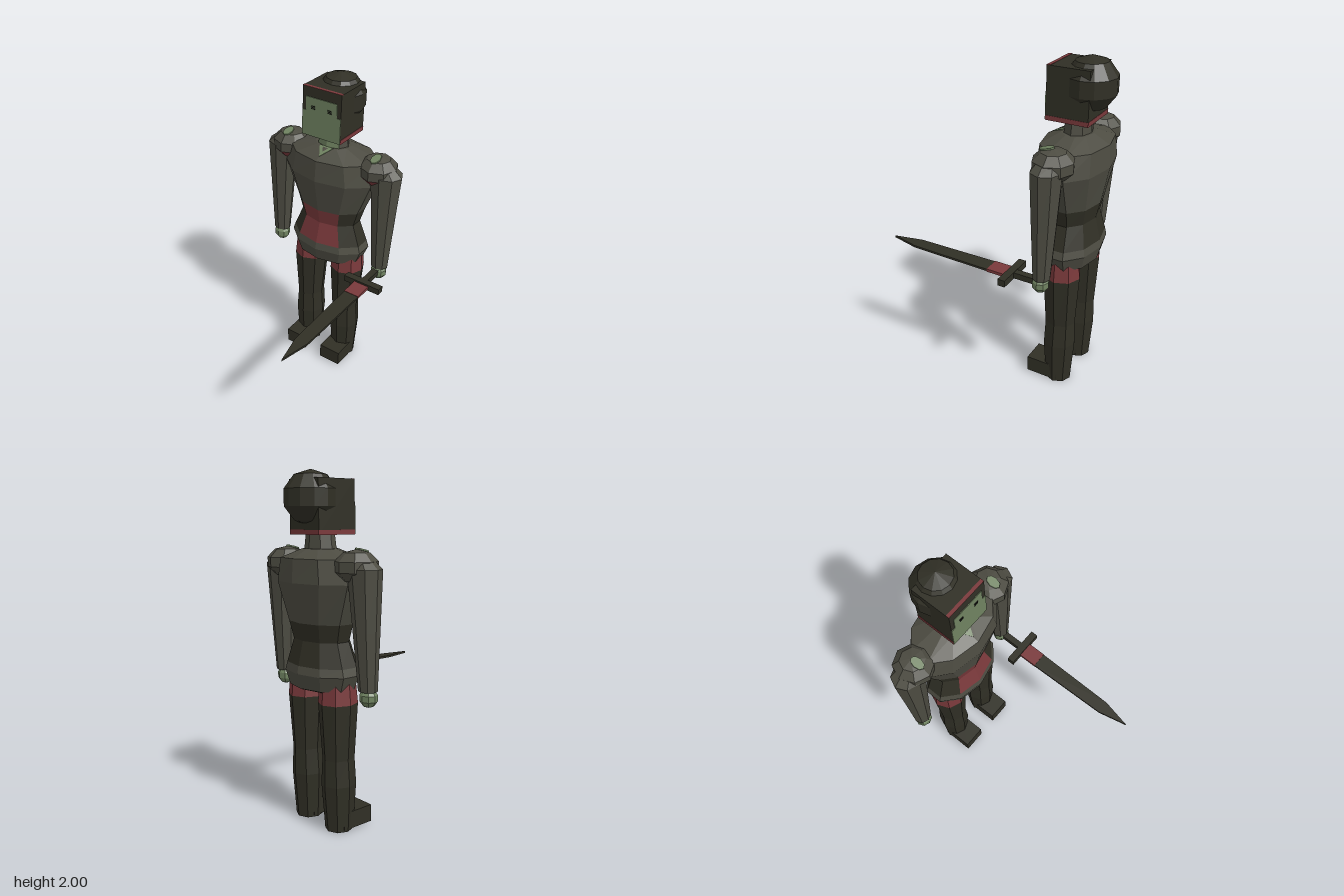
import * as THREE from 'three';

const makeMat = (name, color) => new THREE.MeshStandardMaterial({ name, color, flatShading: true });

export function createModel() {
  const green = makeMat('skin green', 0x6f8260);
  const grey = makeMat('armour grey', 0x4d4c42);
  const dark = makeMat('dark cloth', 0x302f25);
  const red = makeMat('red trim', 0x7a393b);
  const black = makeMat('eye black', 0x161712);

  const model = new THREE.Group();
  model.name = 'swordsman';
  const MX = -0.015, Z = -0.415; // body axis

  const add = (name, geo, mat, x = 0, y = 0, z = 0) => {
    const m = new THREE.Mesh(geo, mat);
    m.name = name;
    m.position.set(x, y, z);
    model.add(m);
    return m;
  };
  const box = (name, mat, w, h, d, x, y, z) => add(name, new THREE.BoxGeometry(w, h, d), mat, x, y, z);

  // Faceted loft: rings are [y, centreX, centreZ, radiusX, radiusZ] from bottom to top,
  // pick(row, segment) chooses the material; segments 0 and n-1 meet at the front.
  function loft(name, n, rings, pick) {
    const buckets = new Map();
    const tri = (mat, ...pts) => {
      if (!buckets.has(mat)) buckets.set(mat, []);
      pts.forEach(p => buckets.get(mat).push(...p));
    };
    const point = ([y, cx, cz, rx, rz], j) => {
      const a = (j / n) * Math.PI * 2;
      return [cx + rx * Math.sin(a), y, cz + rz * Math.cos(a)];
    };
    const last = rings.length - 1;
    for (let j = 0; j < n; j++) {
      for (let i = 0; i < last; i++) {
        const mat = pick(i, j), lo = rings[i], hi = rings[i + 1];
        const a = point(lo, j), b = point(lo, j + 1), c = point(hi, j + 1), d = point(hi, j);
        if (lo[3] > 0) tri(mat, a, b, c);
        if (hi[3] > 0) tri(mat, a, c, d);
      }
      const bot = rings[0], top = rings[last];
      if (bot[3] > 0) tri(pick(0, j), [bot[1], bot[0], bot[2]], point(bot, j + 1), point(bot, j));
      if (top[3] > 0) tri(pick(last - 1, j), [top[1], top[0], top[2]], point(top, j), point(top, j + 1));
    }
    const geo = new THREE.BufferGeometry(), data = [], mats = [...buckets.keys()];
    mats.forEach((m, k) => {
      const part = buckets.get(m);
      geo.addGroup(data.length / 3, part.length / 3, k);
      data.push(...part);
    });
    geo.setAttribute('position', new THREE.Float32BufferAttribute(data, 3));
    geo.computeVertexNormals();
    return add(name, geo, mats);
  }

  // Rings of a faceted ball for the loft
  const ball = (x, y, z, rx, ry, rz, rows) => Array.from({ length: rows + 1 }, (_, i) => {
    const t = Math.PI * i / rows, s = i % rows ? Math.sin(t) : 0;
    return [y - ry * Math.cos(t), x, z, rx * s, rz * s];
  });

  // Torso with dark waist and red front panel
  const isFront = (j, n) => j === 0 || j === n - 1;
  const torso = [
    [0.815, 0.235, 0.15], [0.90, 0.27, 0.172], [0.945, 0.255, 0.163], [1.08, 0.2, 0.13],
    [1.18, 0.23, 0.152], [1.40, 0.32, 0.195], [1.53, 0.285, 0.185], [1.58, 0.115, 0.09],
  ].map(([y, rx, rz]) => [y, MX, Z, rx, rz]);
  loft('torso', 10, torso, (i, j) => (i === 2 || i === 3) ? (isFront(j, 10) ? red : dark) : grey);
  loft('hipUnderside', 10, [[0.808, MX, Z, 0.21, 0.135], [0.82, MX, Z, 0.21, 0.135]], () => dark);

  // Neck with bare throat
  loft('neck', 8, [[1.56, MX, Z, 0.105, 0.08], [1.67, MX, Z, 0.09, 0.07]],
    (i, j) => isFront(j, 8) ? green : grey);
  const throat = add('throatPoint', new THREE.CylinderGeometry(0.055, 0.055, 0.008, 3), green, MX, 1.569, Z + 0.1);
  throat.rotation.x = 0.42;

  // Head block, face and trim
  const HZ = -0.4, HW = 0.26, HD = 0.245;
  box('headBlock', dark, HW, 0.295, HD, MX, 1.8025, HZ);
  const face = new THREE.Shape([
    [-0.13, 1.657], [0.13, 1.657], [0.13, 1.81], [0.105, 1.81],
    [0.105, 1.893], [-0.105, 1.893], [-0.105, 1.81], [-0.13, 1.81],
  ].map(p => new THREE.Vector2(...p)));
  add('face', new THREE.ExtrudeGeometry(face, { depth: 0.004, bevelEnabled: false }), green, MX, 0, HZ + HD / 2);
  for (const s of [-1, 1]) {
    box('headSideTrim', red, 0.004, 0.026, HD, MX + s * HW / 2, 1.668, HZ);
    for (const dy of [-0.008, 0, 0.008])
      box('eye', black, 0.026, 0.004, 0.003, MX + s * 0.056, 1.835 + dy, HZ + HD / 2 + 0.005);
  }
  box('headBackTrim', red, HW, 0.026, 0.004, MX, 1.668, HZ - HD / 2);
  box('browTrim', red, HW, 0.004, 0.02, MX, 1.95, HZ + HD / 2 - 0.01);

  // Rounded skull cap behind and above the head block
  loft('skullCap', 12, ball(MX, 1.85, -0.473, 0.155, 0.15, 0.153, 5), () => dark);

  for (const s of [-1, 1]) {
    const at = d => MX + s * d;

    // Arm, shoulder pad and hand
    loft('arm', 8, [
      [0.845, at(0.38), -0.405, 0.055, 0.05], [1.16, at(0.376), -0.41, 0.075, 0.07],
      [1.485, at(0.37), Z, 0.1, 0.088], [1.53, at(0.35), Z, 0.065, 0.06],
    ], () => grey);
    loft('shoulderPad', 8, ball(at(0.31), 1.495, -0.42, 0.122, 0.09, 0.122, 5),
      (i, j) => i < 2 && isFront(j, 8) ? red : grey);
    const spot = add('shoulderSpot', new THREE.CylinderGeometry(0.028, 0.028, 0.008, 8), green, at(0.31), 1.579, -0.382);
    spot.scale.z = 1.6;
    spot.rotation.x = 0.24;
    loft('hand', 8, ball(at(0.38), 0.808, -0.4, 0.054, 0.054, 0.05, 5), () => green);

    // Leg with red upper band, and foot
    loft('leg', 8, [
      [0, at(0.14), Z, 0.08, 0.08], [0.27, at(0.14), Z, 0.097, 0.1], [0.42, at(0.14), Z, 0.085, 0.095],
      [0.74, at(0.14), Z, 0.11, 0.112], [0.86, at(0.14), Z, 0.1, 0.1],
    ], i => i === 3 ? red : dark);
    box('foot', dark, 0.15, 0.1, 0.2, at(0.14), 0.06, -0.337);
  }

  // Sword held forward in the left hand
  const SX = 0.363, SY = 0.815;
  box('swordGrip', dark, 0.04, 0.036, 0.19, SX, SY, -0.325);
  box('swordGuard', dark, 0.245, 0.04, 0.045, SX, SY, -0.2175);
  const bladePart = (name, mat, pts, thick) => {
    const shape = new THREE.Shape(pts.map(([x, z]) => new THREE.Vector2(x, -z)));
    const geo = new THREE.ExtrudeGeometry(shape, { depth: thick, bevelEnabled: false });
    geo.rotateX(-Math.PI / 2);
    add(name, geo, mat, SX, SY - thick / 2, 0);
  };
  bladePart('bladeBase', red, [[-0.049, -0.195], [-0.049, -0.08], [0.049, -0.08], [0.049, -0.195]], 0.018);
  bladePart('blade', dark, [[-0.048, -0.08], [-0.04, 0.43], [0, 0.61], [0.04, 0.43], [0.048, -0.08]], 0.013);

  return model;
}
